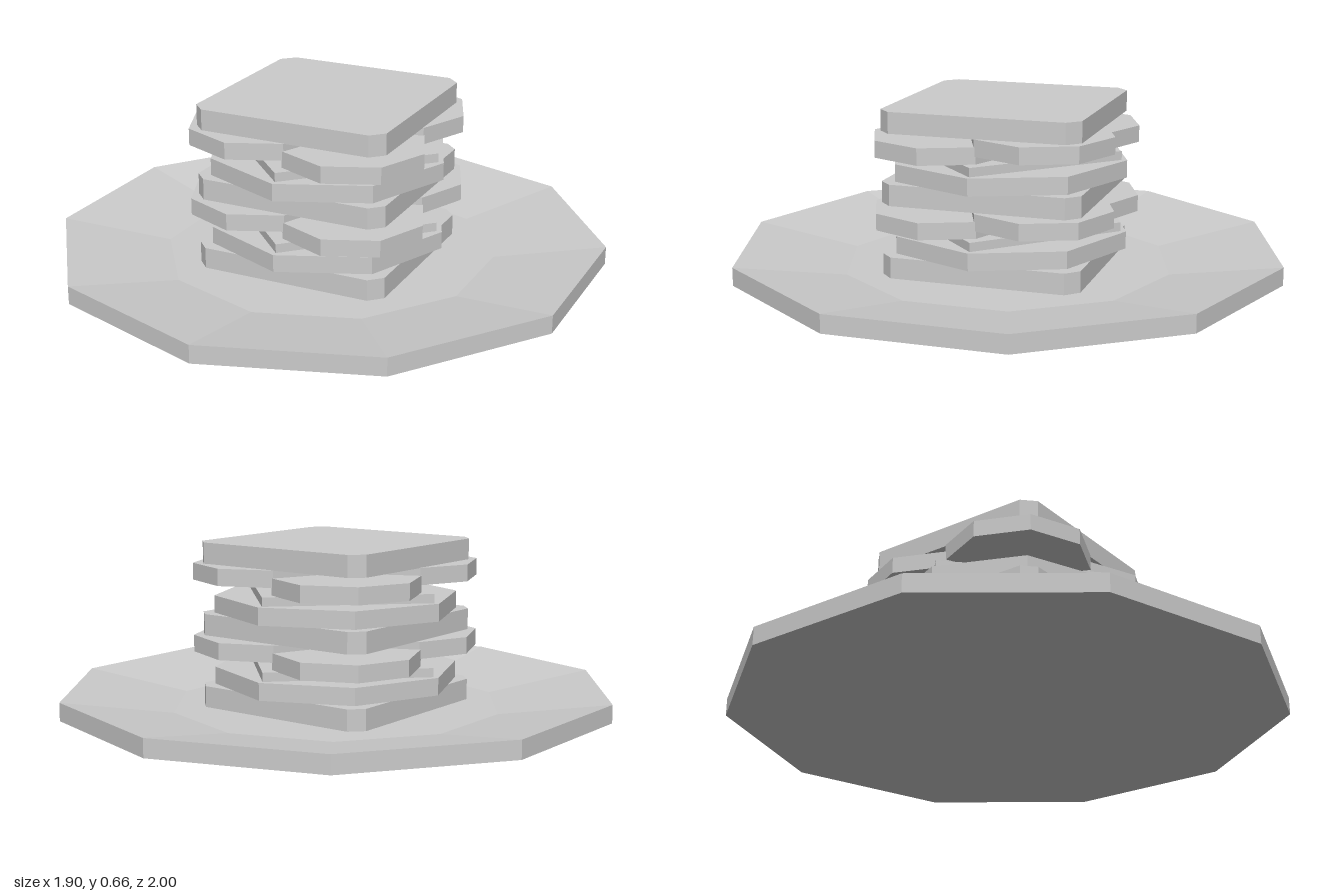
import * as THREE from 'three';

const material = new THREE.MeshStandardMaterial({ color: 0xcccccc, flatShading: true });
const openMaterial = new THREE.MeshStandardMaterial({ color: 0xcccccc, flatShading: true, side: THREE.DoubleSide });

function add(parent, name, geometry, y, x = 0, z = 0, mat = material) {
  const mesh = new THREE.Mesh(geometry, mat);
  mesh.name = name;
  mesh.position.set(x, y, z);
  parent.add(mesh);
  return mesh;
}

// Square slab with clipped corners, its base at y = 0
function breadGeometry(half, cut, height) {
  const inner = half - cut;
  const shape = new THREE.Shape([
    [half, -inner], [half, inner], [inner, half], [-inner, half],
    [-half, inner], [-half, -inner], [-inner, -half], [inner, -half],
  ].map(([x, y]) => new THREE.Vector2(x, y)));
  const geometry = new THREE.ExtrudeGeometry(shape, { depth: height, bevelEnabled: false });
  return geometry.rotateX(-Math.PI / 2);
}

// Flat disc with few sides, its base at y = 0
function slab(radius, height, sides) {
  return new THREE.CylinderGeometry(radius, radius, height, sides).translate(0, height / 2, 0);
}

export function createModel() {
  const model = new THREE.Group();
  model.name = 'sandwichOnPlate';

  // Ten-sided plate with a raised rim and an open foot
  const profile = [[0.6, 0], [1, 0.06], [1, 0.125], [0.6, 0.063], [0, 0.063]]
    .map(([r, y]) => new THREE.Vector2(r, y));
  add(model, 'plate', new THREE.LatheGeometry(profile, 10), 0, 0, 0, openMaterial);

  // Three bread slices
  const bread = breadGeometry(0.36, 0.045, 0.076);
  [0.067, 0.328, 0.583].forEach((y) => add(model, 'breadSlice', bread, y));

  // Two fillings between the slices
  const lettuce = slab(0.44, 0.062, 8);
  const cheese = slab(0.42, 0.032, 4);
  const tomato = slab(0.26, 0.06, 8);
  for (const base of [0.145, 0.404]) {
    const filling = new THREE.Group();
    filling.name = 'filling';
    filling.position.y = base;
    add(filling, 'lettuce', lettuce, 0);
    add(filling, 'cheese', cheese, 0.062);
    // Tomato slices overlap, alternate corners lying higher
    for (const sx of [-1, 1]) {
      for (const sz of [-1, 1]) {
        add(filling, 'tomatoSlice', tomato, sx === sz ? 0.093 : 0.12, sx * 0.18, sz * 0.18);
      }
    }
    model.add(filling);
  }
  return model;
}
